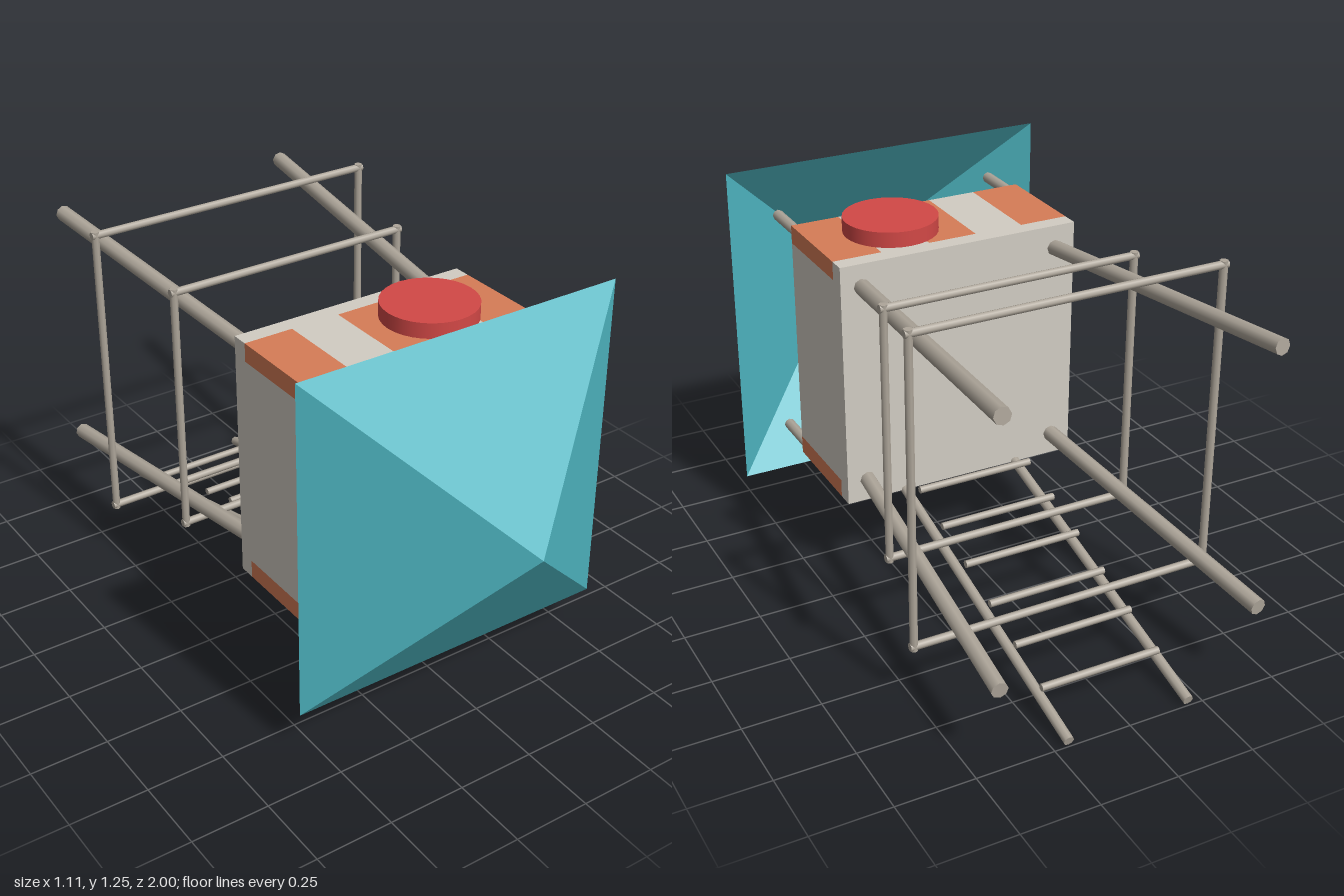
import * as THREE from 'three';

const mat = (name, color, side = THREE.FrontSide) => {
  const m = new THREE.MeshStandardMaterial({ color, side });
  m.name = name;
  return m;
};

export function createModel() {
  const root = new THREE.Group();
  root.name = 'watchTower';
  const wood = mat('pale grey', 0xd2cdc3);
  const pole = mat('pole grey', 0xaea69a);
  const orange = mat('orange', 0xd67c57);
  const red = mat('red', 0xd24846);
  const teal = mat('teal', 0x4eb5c0, THREE.DoubleSide);
  const midY = 0.695;

  const add = (parent, name, geometry, material) => {
    const mesh = new THREE.Mesh(geometry, material);
    mesh.name = name;
    parent.add(mesh);
    return mesh;
  };
  const group = (name) => {
    const g = new THREE.Group();
    g.name = name;
    root.add(g);
    return g;
  };
  // Box given by its low and high corners
  const box = (parent, name, lo, hi, material) => {
    const size = hi.map((v, i) => v - lo[i]);
    const mesh = add(parent, name, new THREE.BoxGeometry(...size), material);
    mesh.position.set(...hi.map((v, i) => (v + lo[i]) / 2));
  };
  // Round bar between two points
  const bar = (parent, name, a, b, r) => {
    const p = new THREE.Vector3(...a), q = new THREE.Vector3(...b);
    const d = q.clone().sub(p);
    const mesh = add(parent, name, new THREE.CylinderGeometry(r, r, d.length(), 8), pole);
    mesh.position.copy(p).add(q).multiplyScalar(0.5);
    mesh.quaternion.setFromUnitVectors(new THREE.Vector3(0, 1, 0), d.normalize());
  };

  // Hollow four-sided roof, its tip towards +z
  const roofGeo = new THREE.ConeGeometry(0.5525 * Math.SQRT2, 0.385, 4, 1, true).toNonIndexed();
  roofGeo.rotateY(Math.PI / 4);
  roofGeo.rotateX(Math.PI / 2);
  roofGeo.computeVertexNormals();
  add(root, 'roof', roofGeo, teal).position.set(0, midY, 0.8075);

  // Cabin: floor, plain side walls, striped upper and lower walls
  const cabin = group('cabin');
  const w = 0.405, y0 = 0.285, y1 = 1.105, t = 0.06, zFloor = 0.12, zRim = 0.45;
  box(cabin, 'floor', [-w, y0, 0.065], [w, y1, zFloor], wood);
  box(cabin, 'leftWall', [w - t, y0 + t, zFloor], [w, y1 - t, zRim], wood);
  box(cabin, 'rightWall', [-w, y0 + t, zFloor], [-w + t, y1 - t, zRim], wood);
  for (let i = 0; i < 5; i++) {
    const xa = -w + (i * 2 * w) / 5, xb = xa + (2 * w) / 5;
    const m = i % 2 ? wood : orange;
    box(cabin, 'upperWallStripe', [xa, y1 - t, zFloor], [xb, y1, zRim], m);
    box(cabin, 'lowerWallStripe', [xa, y0, zFloor], [xb, y0 + t, zRim], m);
  }

  // Red float on the upper wall
  const float = add(root, 'float', new THREE.CylinderGeometry(0.152, 0.152, 0.06, 32), red);
  float.position.set(0.14, 1.125, 0.275);

  // Roof posts and splayed legs at the four corners
  const supports = group('supports');
  for (const sx of [-1, 1]) {
    for (const sy of [-1, 1]) {
      const at = (x, y, z) => [sx * x, midY + sy * y, z];
      bar(supports, 'roofPost', at(0.385, 0.385, 0.12), at(0.385, 0.385, 0.615), 0.018);
      bar(supports, 'leg', at(0.335, 0.335, 0.07), at(0.427, 0.421, -0.997), 0.026);
    }
  }

  // Square brace frames around the legs
  const braces = group('braces');
  for (const [z, h] of [[-0.27, 0.43], [-0.61, 0.513]]) {
    const c = h - 0.013;
    for (const s of [-1, 1]) {
      bar(braces, 'braceUpright', [s * c, midY - h, z], [s * c, midY + h, z], 0.013);
      bar(braces, 'braceCrossbar', [-h, midY + s * c, z], [h, midY + s * c, z], 0.013);
    }
  }

  // Ladder
  const ladder = group('ladder');
  for (const s of [-1, 1]) {
    bar(ladder, 'ladderRail', [s * 0.202, 0.285, 0.07], [s * 0.202, 0.017, -0.996], 0.0165);
  }
  for (let i = 0; i < 6; i++) {
    const y = 0.334 - 0.0487 * i, z = -0.035 - 0.159 * i;
    bar(ladder, 'ladderRung', [-0.2, y, z], [0.2, y, z], 0.012);
  }
  return root;
}
